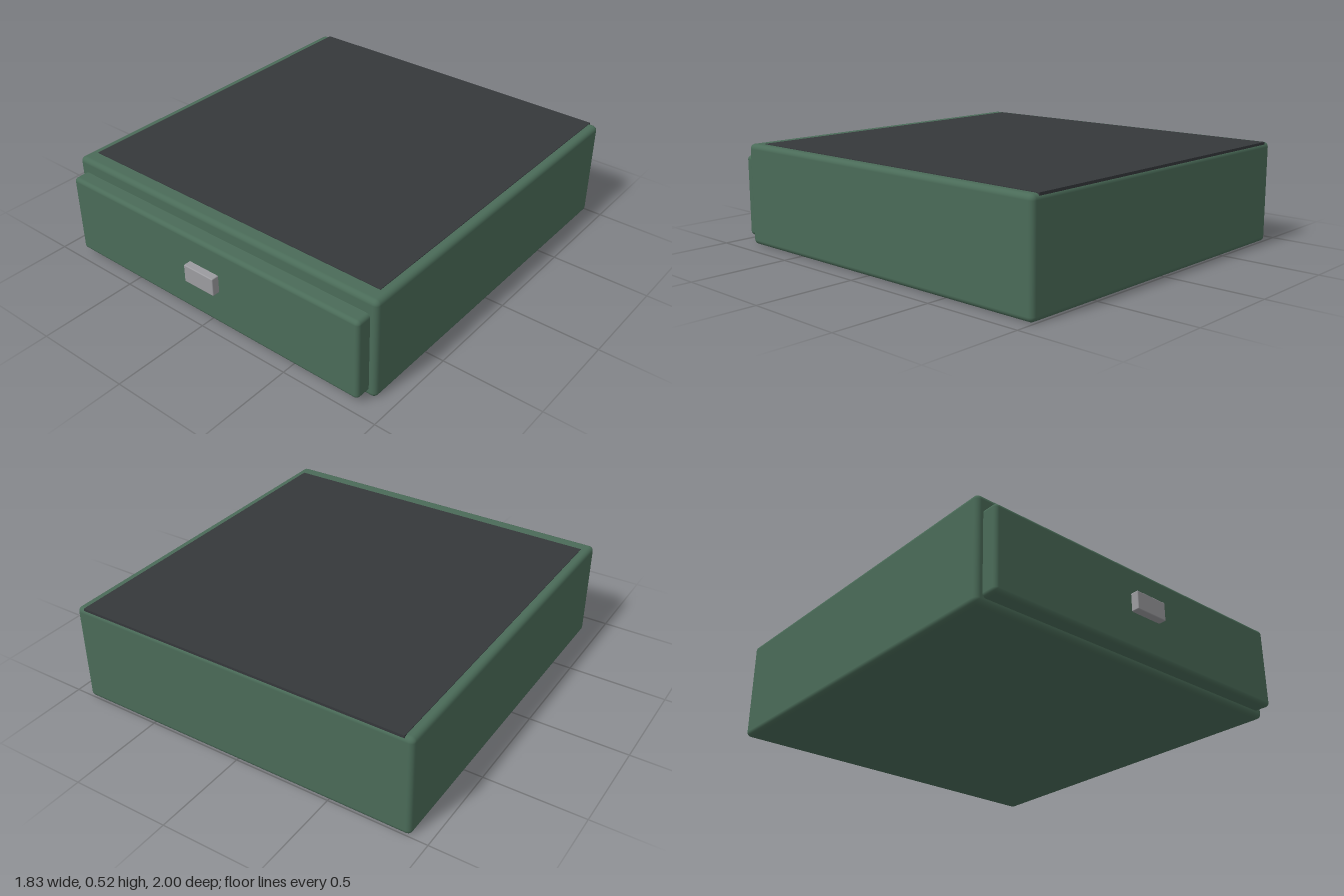
import * as THREE from 'three';
import { RoundedBoxGeometry } from 'three/addons/geometries/RoundedBoxGeometry.js';

export function createModel() {
  const model = new THREE.Group();
  const green = new THREE.MeshStandardMaterial({ color: 0x4a6b58 });
  const dark = new THREE.MeshStandardMaterial({ color: 0x35383b });
  const metal = new THREE.MeshStandardMaterial({ color: 0x9b9b9f });

  // Box spanning min to max corners, with softened edges when radius > 0
  function addBox(name, material, min, max, radius) {
    const size = max.map((v, i) => v - min[i]);
    const geometry = radius
      ? new RoundedBoxGeometry(...size, 3, radius)
      : new THREE.BoxGeometry(...size);
    const mesh = new THREE.Mesh(geometry, material);
    mesh.name = name;
    mesh.position.set(...max.map((v, i) => (v + min[i]) / 2));
    model.add(mesh);
  }

  // Main case
  addBox('case', green, [-0.915, 0, -1], [0.915, 0.516, 0.885], 0.025);
  // Dark inlay lying on the top, open to the back edge
  addBox('topPanel', dark, [-0.87, 0.49, -0.995], [0.87, 0.519, 0.805], 0);
  // Drawer front standing proud of the case
  addBox('drawerFront', green, [-0.88, 0.03, 0.83], [0.88, 0.445, 0.962], 0.02);
  // Small pull on the drawer
  addBox('handle', metal, [-0.09, 0.215, 0.955], [0.09, 0.308, 1], 0.005);

  return model;
}
